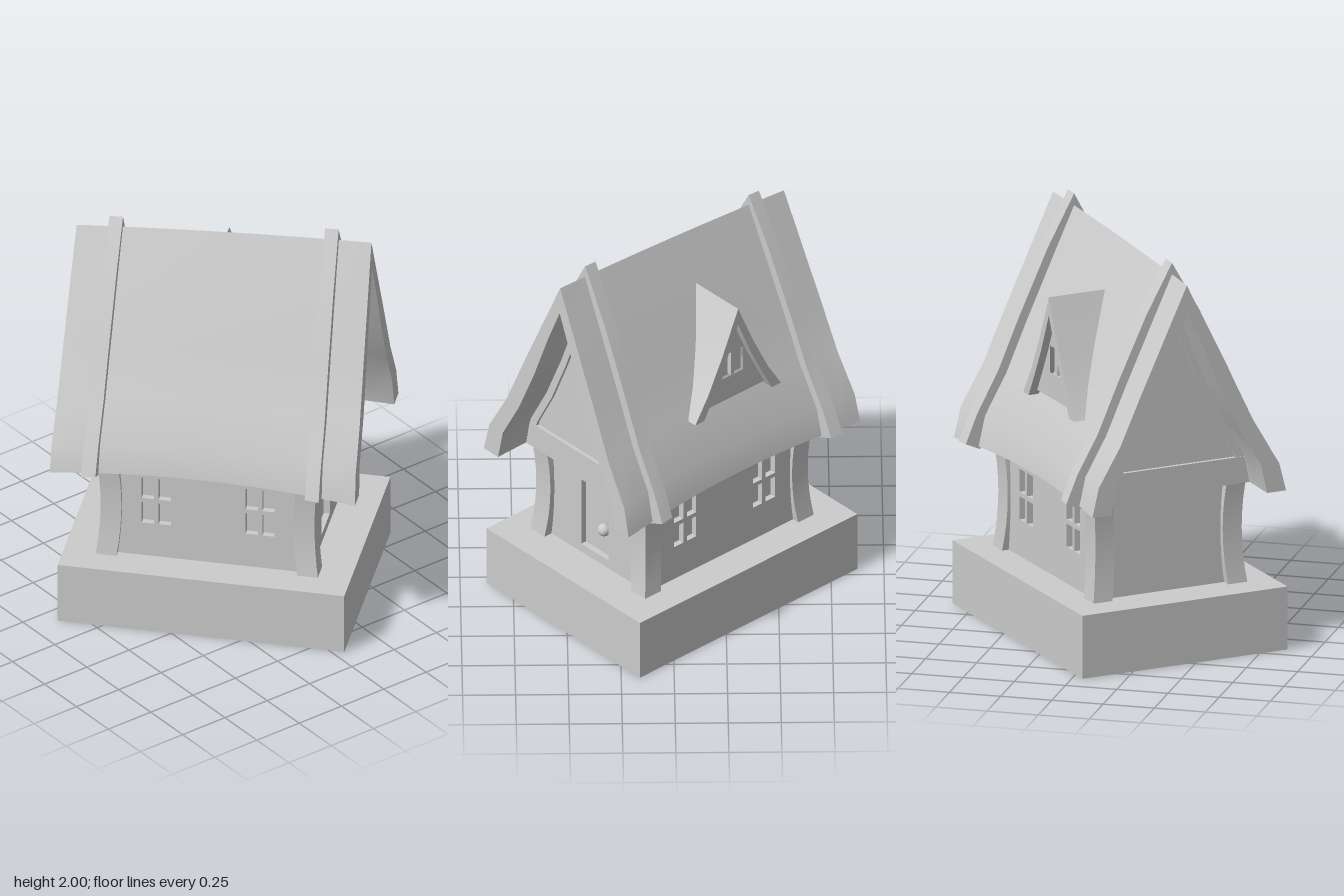
import * as THREE from 'three';
import { toCreasedNormals } from 'three/addons/utils/BufferGeometryUtils.js';

const smooth = new THREE.MeshStandardMaterial({ color: 0xcccccc });
const flat = new THREE.MeshStandardMaterial({ color: 0xcccccc, flatShading: true, side: THREE.DoubleSide });

// Half profiles of the roof, from ridge to eave: [x, y]
const OUTER = [[0, 1.95], [0.1, 1.73], [0.25, 1.4], [0.36, 1.15], [0.475, 0.95], [0.51, 0.8]];
const INNER = [[0, 1.81], [0.08, 1.62], [0.17, 1.38], [0.27, 1.15], [0.38, 0.95], [0.41, 0.8]];
const BAND = [[0, 2.01], [0.14, 1.75], [0.293, 1.42], [0.402, 1.17], [0.52, 0.96], [0.58, 0.82]];

const mirrored = (half) => [...half.slice(1).reverse().map(([x, y]) => [-x, y]), ...half];
const toShape = (pts) => new THREE.Shape(pts.map(([x, y]) => new THREE.Vector2(x, y)));
const chevron = (outer, inner) => toShape([...mirrored(outer), ...mirrored(inner).reverse()]);

function rectPath(x0, y0, x1, y1) {
  return new THREE.Path([[x0, y0], [x0, y1], [x1, y1], [x1, y0]].map(([x, y]) => new THREE.Vector2(x, y)));
}

function rectShape(x0, y0, x1, y1) {
  return toShape([[x0, y0], [x1, y0], [x1, y1], [x0, y1]]);
}

// Four panes separated by a cross of glazing bars
function cutWindow(shape, cx, cy, w, h, bar = 0.022) {
  for (const sx of [-1, 1]) {
    for (const sy of [-1, 1]) {
      const xs = [cx + sx * bar / 2, cx + sx * w / 2].sort((a, b) => a - b);
      const ys = [cy + sy * bar / 2, cy + sy * h / 2].sort((a, b) => a - b);
      shape.holes.push(rectPath(xs[0], ys[0], xs[1], ys[1]));
    }
  }
}

function extrude(shape, z0, z1, steps = 1) {
  return new THREE.ExtrudeGeometry(shape, { depth: z1 - z0, steps, bevelEnabled: false }).translate(0, 0, z0);
}

function moveVertices(geo, rule) {
  const pos = geo.attributes.position;
  const v = new THREE.Vector3();
  for (let i = 0; i < pos.count; i++) {
    rule(v.fromBufferAttribute(pos, i));
    pos.setXYZ(i, v.x, v.y, v.z);
  }
  return geo;
}

// Leaning ridge, pinched and lifted eaves, flared gable ends
function warp(geo) {
  moveVertices(geo, (v) => {
    const t = THREE.MathUtils.clamp(v.z / 0.71, -1, 1);
    const s = (1.95 - v.y) / 1.15;
    const mid = 1 - t * t;
    v.x *= 1 - 0.06 * s * mid;
    v.y += (-0.04 + 0.04 * t + 0.01 * mid) * (1 - s) + 0.03 * s * mid;
    v.z *= 1 + 0.035 * s;
  });
  return toCreasedNormals(geo, 0.45);
}

// Four upright sides without top or bottom
function openBox(w, h, d, y0) {
  return new THREE.CylinderGeometry(Math.SQRT1_2, Math.SQRT1_2, h, 4, 1, true)
    .rotateY(Math.PI / 4).scale(w, 1, d).translate(0, y0 + h / 2, 0);
}

export function createModel() {
  const house = new THREE.Group();
  house.name = 'cottage';
  const add = (name, geo, mat = smooth, parent = house) => {
    const mesh = new THREE.Mesh(geo, mat);
    mesh.name = name;
    parent.add(mesh);
    return mesh;
  };

  // Hollow plinth
  add('plinthSides', openBox(1.08, 0.31, 1.38, 0), flat);
  const top = rectShape(-0.54, -0.69, 0.54, 0.69);
  top.holes.push(rectPath(-0.36, -0.48, 0.36, 0.48));
  add('plinthTop', new THREE.ShapeGeometry(top).rotateX(-Math.PI / 2).translate(0, 0.31, 0), flat);

  // Walls: inner shell behind panels with cut openings
  add('innerWalls', openBox(0.68, 0.54, 0.92, 0.31), flat);
  const front = rectShape(-0.37, 0.31, 0.37, 0.85);
  front.holes.push(rectPath(-0.095, 0.355, 0.095, 0.72));
  add('frontWall', extrude(front, 0.46, 0.49));
  add('backWall', extrude(rectShape(-0.37, 0.31, 0.37, 0.85), -0.49, -0.46));
  for (const side of [-1, 1]) {
    const wall = rectShape(-0.46, 0.31, 0.46, 0.85);
    for (const cx of [-0.25, 0.25]) cutWindow(wall, cx, 0.615, 0.14, 0.25);
    add(side > 0 ? 'leftWall' : 'rightWall', extrude(wall, 0.34, 0.37).rotateY(side * Math.PI / 2));
  }

  // Door knob
  add('doorKnob', new THREE.SphereGeometry(0.032, 20, 14).translate(0.06, 0.51, 0.485));

  // Corner posts, waisted at mid height
  for (const sx of [-1, 1]) {
    for (const sz of [-1, 1]) {
      const post = new THREE.BoxGeometry(0.1, 0.54, 0.1, 1, 8, 1);
      moveVertices(post, (v) => {
        const bend = 0.02 * (1 - (v.y / 0.27) ** 2);
        v.set(v.x + sx * (0.355 - bend), v.y + 0.58, v.z + sz * (0.485 - bend));
      });
      add('cornerPost', toCreasedNormals(post, 0.5));
    }
  }

  // Roof shell and the two raised bands over it
  add('roof', warp(extrude(chevron(OUTER, INNER), -0.71, 0.71, 16)));
  const bandInner = [...OUTER.slice(0, 5), [0.5, 0.785]];
  for (const z of [-0.52, 0.52]) {
    add('roofBand', warp(extrude(chevron(BAND, bandInner), z - 0.033, z + 0.033)));
  }

  // Attic core and the gable fronts
  const atticProfile = [...INNER.slice(0, 5), [0.405, 0.825]];
  add('attic', warp(extrude(toShape(mirrored(atticProfile)), -0.5, 0.5, 8)));
  const trimInner = [[0, 1.73], [0.05, 1.6], [0.135, 1.37], [0.232, 1.14], [0.335, 0.95], [0.36, 0.83]];
  for (const side of [-1, 1]) {
    const gable = new THREE.Group();
    gable.name = side > 0 ? 'frontGable' : 'backGable';
    house.add(gable);
    const span = (depth) => (side > 0 ? [0.5, 0.5 + depth] : [-0.5 - depth, -0.5]);
    const wall = toShape(mirrored(atticProfile));
    cutWindow(wall, 0, 1.23, 0.17, 0.28);
    add('gableWall', warp(extrude(wall, ...span(0.03))), smooth, gable);
    add('gableTrim', warp(extrude(chevron(atticProfile, trimInner), ...span(0.045))), smooth, gable);
    add('gableBeam', extrude(rectShape(-0.415, 0.81, 0.415, 0.94), ...span(0.065)), smooth, gable);
  }

  // Dormer on the left slope, built facing +z and then turned
  const dormer = new THREE.Group();
  dormer.name = 'dormer';
  dormer.rotation.y = Math.PI / 2;
  dormer.position.z = -0.057;
  house.add(dormer);
  const dOuter = [[0, 1.69], [0.1, 1.46], [0.19, 1.28], [0.272, 1.15]];
  const dInner = [[0, 1.6], [0.08, 1.41], [0.15, 1.27], [0.215, 1.15]];
  const dRoof = extrude(chevron(dOuter, dInner), 0, 0.403);
  moveVertices(dRoof, (v) => {
    if (v.z < 0.1) v.z = 0.09 + (1.69 - v.y) * 0.4;
  });
  add('dormerRoof', toCreasedNormals(dRoof, 0.45), smooth, dormer);
  const dWall = toShape(mirrored([...dInner.slice(0, 3), [0.2, 1.175]]));
  dWall.holes.push(rectPath(-0.065, 1.3, 0.065, 1.43));
  add('dormerWall', extrude(dWall, 0.335, 0.365), smooth, dormer);
  add('dormerPane', new THREE.PlaneGeometry(0.15, 0.15).translate(0, 1.365, 0.337), flat, dormer);
  add('dormerGlazingBar', new THREE.BoxGeometry(0.02, 0.13, 0.025).translate(0, 1.365, 0.35), smooth, dormer);

  // The cottage stands turned on its plot
  house.rotation.y = THREE.MathUtils.degToRad(41.3);
  const model = new THREE.Group();
  model.name = 'model';
  model.add(house);
  return model;
}
